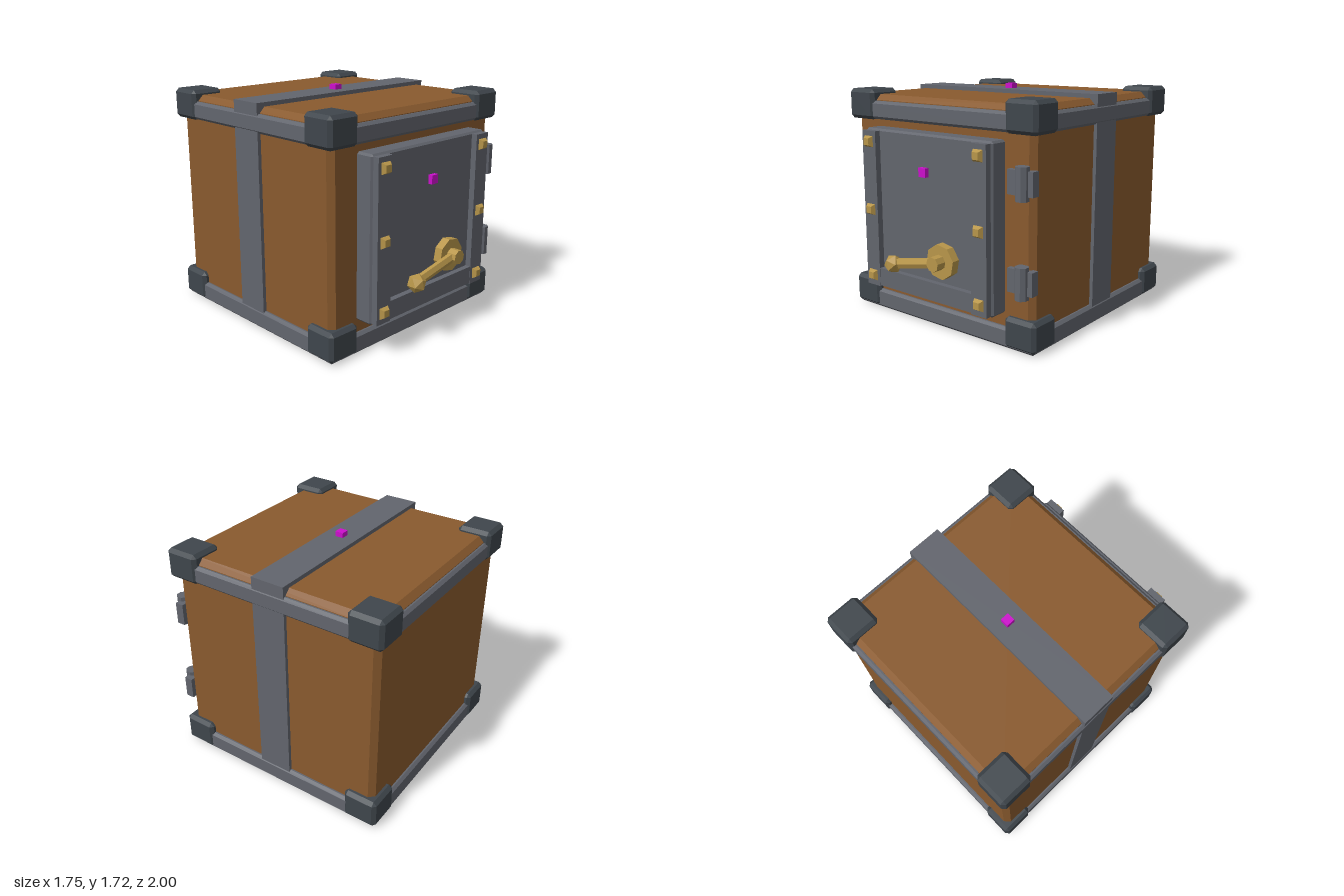
import * as THREE from 'three';
import { ConvexGeometry } from 'three/addons/geometries/ConvexGeometry.js';

const CZ = -0.125; // centre of the cabinet in z

function material(name, color) {
  const m = new THREE.MeshStandardMaterial({ color, flatShading: true });
  m.name = name;
  return m;
}

// Box with all edges and corners cut by c, given by its min and max corners
function chamferBox(min, max, c) {
  const mid = min.map((v, i) => (v + max[i]) / 2);
  const half = min.map((v, i) => (max[i] - v) / 2);
  const points = [];
  for (const sx of [-1, 1]) for (const sy of [-1, 1]) for (const sz of [-1, 1]) {
    const s = [sx, sy, sz];
    for (let full = 0; full < 3; full++) {
      const p = s.map((d, i) => mid[i] + d * (half[i] - (i === full ? 0 : c)));
      points.push(new THREE.Vector3(...p));
    }
  }
  return new ConvexGeometry(points);
}

function plainBox(min, max) {
  const g = new THREE.BoxGeometry(...max.map((v, i) => v - min[i]));
  return g.translate(...max.map((v, i) => (v + min[i]) / 2));
}

export function createModel() {
  const wood = material('brown', 0x895a2e);
  const steel = material('steel grey', 0x62656d);
  const iron = material('dark iron', 0x3f464c);
  const brass = material('brass', 0xb8964a);
  const marker = material('magenta', 0xcc0fcc);

  const model = new THREE.Group();
  model.name = 'safe';
  const add = (name, geometry, mat, parent = model) => {
    const mesh = new THREE.Mesh(geometry, mat);
    mesh.name = name;
    parent.add(mesh);
    return mesh;
  };

  // Cabinet, with the base and top frames and the strap around it
  add('body', chamferBox([-0.83, 0, CZ - 0.83], [0.83, 1.655, CZ + 0.83], 0.04), wood);
  add('baseFrame', chamferBox([-0.862, 0.002, CZ - 0.862], [0.862, 0.15, CZ + 0.862], 0.02), steel);
  add('topFrame', chamferBox([-0.862, 1.475, CZ - 0.862], [0.862, 1.61, CZ + 0.862], 0.02), steel);
  add('strap', plainBox([-0.856, 0.1, CZ - 0.13], [0.856, 1.685, CZ + 0.13]), steel);

  // Eight corner guards
  for (const x of [-0.745, 0.745]) for (const z of [-0.745, 0.745]) for (const y of [0.012, 1.47]) {
    add('cornerGuard', chamferBox(
      [x - 0.13, y, CZ + z - 0.13], [x + 0.13, y + 0.222, CZ + z + 0.13], 0.026), iron);
  }

  // Door with a raised border on the sides and bottom
  const door = new THREE.Group();
  door.name = 'door';
  model.add(door);
  add('doorPanel', chamferBox([-0.595, 0.24, 0.66], [0.595, 1.425, 0.838], 0.015), steel, door);
  for (const s of [-1, 1]) {
    const x = s * 0.515;
    add('doorSideStrip', plainBox([x - 0.067, 0.25, 0.82], [x + 0.067, 1.412, 0.883]), steel, door);
    // Pyramid studs on each strip
    for (const y of [0.33, 0.833, 1.335]) {
      const stud = new THREE.CylinderGeometry(0.035, 0.058, 0.03, 4);
      stud.rotateY(Math.PI / 4).rotateX(Math.PI / 2);
      add('stud', stud.translate(x, y, 0.897), brass, door);
    }
  }
  add('doorBottomStrip', plainBox([-0.45, 0.258, 0.82], [0.45, 0.392, 0.88]), steel, door);

  // Hinges
  for (const y of [0.5, 1.162]) {
    const hinge = new THREE.Group();
    hinge.name = 'hinge';
    model.add(hinge);
    add('hingePlate', plainBox([0.645, y - 0.083, 0.68], [0.85, y + 0.083, 0.745]), steel, hinge);
    const barrel = new THREE.CylinderGeometry(0.049, 0.049, 0.226, 8);
    add('hingeBarrel', barrel.rotateY(Math.PI / 8).translate(0.767, y, 0.745), steel, hinge);
  }

  // Handle, built along -x and tilted about its hub
  const handle = new THREE.Group();
  handle.name = 'handle';
  handle.position.set(0.18, 0.565, 0);
  handle.rotation.z = 0.2;
  model.add(handle);
  const disc = (r, z0, z1) => new THREE.CylinderGeometry(r, r, z1 - z0, 8)
    .rotateX(Math.PI / 2).translate(0, 0, (z0 + z1) / 2);
  add('handlePlate', disc(0.126, 0.83, 0.9), brass, handle);
  add('handleHub', disc(0.054, 0.89, 0.975), brass, handle);
  const arm = new THREE.CylinderGeometry(0.04, 0.04, 0.41, 6);
  arm.rotateZ(Math.PI / 2).scale(1, 1, 0.75).translate(-0.215, 0, 0.925);
  add('handleArm', arm, brass, handle);
  add('handleKnob', new THREE.IcosahedronGeometry(0.07, 0).translate(-0.43, 0, 0.936), brass, handle);

  // Small marker blocks on the strap and the door
  add('topMarker', plainBox([-0.032, 1.66, CZ - 0.032], [0.032, 1.722, CZ + 0.032]), marker);
  add('doorMarker', plainBox([-0.032, 1.13, 0.82], [0.032, 1.194, 0.872]), marker);

  return model;
}
